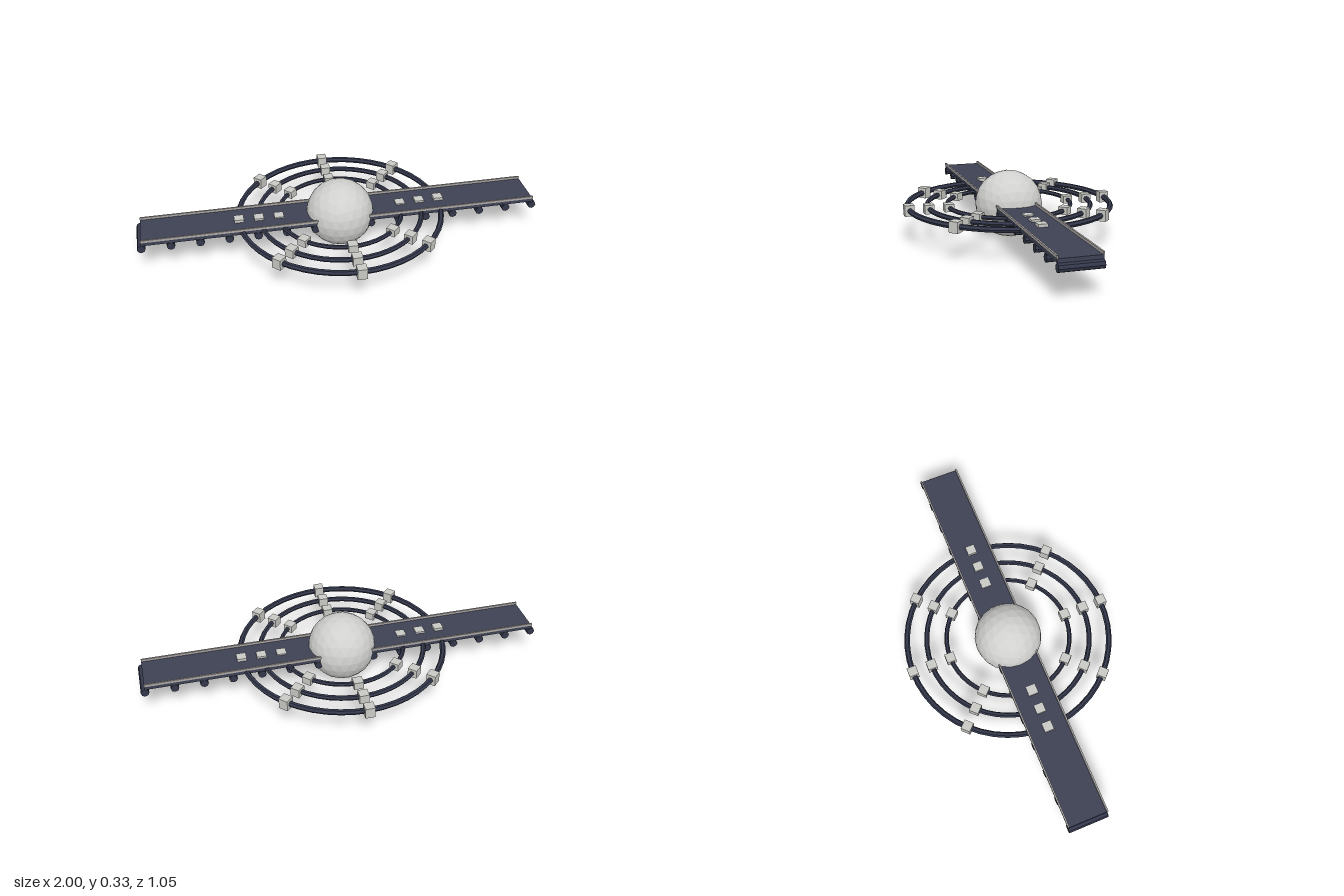
import * as THREE from 'three';

const mat = (name, color) => {
  const m = new THREE.MeshStandardMaterial({ color, flatShading: true });
  m.name = name;
  return m;
};

export function createModel() {
  const paleGrey = mat('pale grey', 0xd0d0ce);
  const blockGrey = mat('block grey', 0xc8c8c4);
  const railGrey = mat('rail grey', 0xaaa6a4);
  const navy = mat('navy', 0x3d4154);
  const darkNavy = mat('dark navy', 0x33374a);

  const model = new THREE.Group();
  model.name = 'ringedStation';
  const add = (name, geometry, material, x = 0, y = 0, z = 0, parent = model) => {
    const mesh = new THREE.Mesh(geometry, material);
    mesh.name = name;
    mesh.position.set(x, y, z);
    parent.add(mesh);
    return mesh;
  };

  // Faceted core, turned so a vertex points straight up
  const core = new THREE.IcosahedronGeometry(0.167, 3);
  core.rotateZ(Math.atan(2 / (1 + Math.sqrt(5))));
  add('coreSphere', core, paleGrey, 0, 0.168, 0);

  // Long deck with a raised lip along each edge
  add('deck', new THREE.BoxGeometry(1.96, 0.0185, 0.2), navy, 0, 0.172, 0);
  for (const side of [-1, 1]) {
    add('deckRail', new THREE.BoxGeometry(1.96, 0.013, 0.008), railGrey, 0, 0.1875, side * 0.098);
  }

  // Round cross beams under the deck
  const beam = new THREE.CylinderGeometry(0.02, 0.02, 0.2, 8);
  beam.rotateX(Math.PI / 2);
  for (let i = -7; i <= 7; i++) add('crossBeam', beam, darkNavy, i * 0.14, 0.143, 0);

  // Three concentric rings, each carrying eight radial blocks
  const rings = [
    { radius: 0.504, tube: 0.014, height: 0.054 },
    { radius: 0.406, tube: 0.0125, height: 0.045 },
    { radius: 0.307, tube: 0.011, height: 0.038 },
  ];
  for (const { radius, tube, height } of rings) {
    const group = new THREE.Group();
    group.name = 'ringAssembly';
    group.position.y = 0.169;
    model.add(group);

    const torus = new THREE.TorusGeometry(radius, tube, 6, 48);
    torus.rotateX(Math.PI / 2);
    add('ring', torus, darkNavy, 0, 0, 0, group);

    const block = new THREE.BoxGeometry(0.047, height, 0.047);
    for (let i = 0; i < 8; i++) {
      const a = (i * Math.PI) / 4;
      add('ringBlock', block, blockGrey, radius * Math.cos(a), 0, radius * Math.sin(a), group).rotation.y = -a;
    }
  }
  return model;
}
